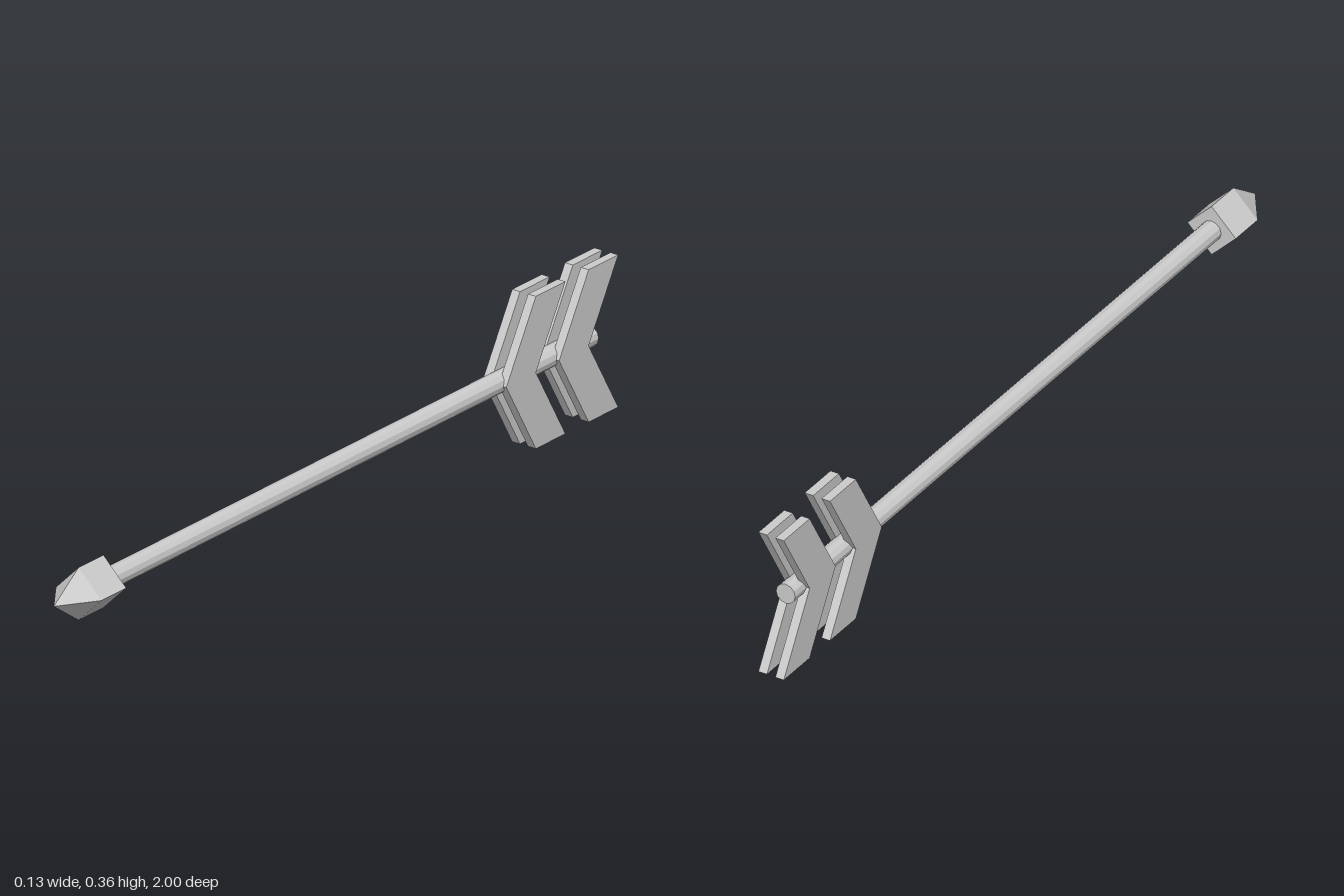
import * as THREE from 'three';

export function createModel() {
  const group = new THREE.Group();
  const material = new THREE.MeshStandardMaterial({ color: 0xcccccc, flatShading: true });
  const axisY = 0.182;

  const add = (name, geometry, x, y, z) => {
    const mesh = new THREE.Mesh(geometry, material);
    mesh.name = name;
    mesh.position.set(x, y, z);
    group.add(mesh);
  };

  // Shaft, lying along z
  const back = -0.94, front = 0.83;
  const shaft = new THREE.CylinderGeometry(0.025, 0.025, front - back, 12).rotateX(Math.PI / 2);
  add('shaft', shaft, 0, axisY, (front + back) / 2);

  // Four-sided arrowhead: square block running into a pyramid point
  const profile = [[0, 0], [0.063, 0], [0.063, 0.09], [0, 0.18]].map(([r, h]) => new THREE.Vector2(r, h));
  add('arrowhead', new THREE.LatheGeometry(profile, 4).rotateX(Math.PI / 2), 0, axisY, 0.82);

  // Chevron feathers: a pair side by side at two places along the shaft
  const h = 0.182, sweep = 0.107, thickness = 0.022;
  const chevron = new THREE.Shape([
    [0, 0], [sweep, -h], [2 * sweep, -h], [sweep, 0], [2 * sweep, h], [sweep, h],
  ].map(([x, y]) => new THREE.Vector2(x, y)));
  const feather = new THREE.ExtrudeGeometry(chevron, { depth: thickness, bevelEnabled: false })
    .translate(0, 0, -thickness / 2)
    .rotateY(Math.PI / 2);
  [['front', -0.595], ['rear', -0.786]].forEach(([place, z]) => {
    add(place + 'FeatherLeft', feather, 0.022, axisY, z);
    add(place + 'FeatherRight', feather, -0.022, axisY, z);
  });

  return group;
}
